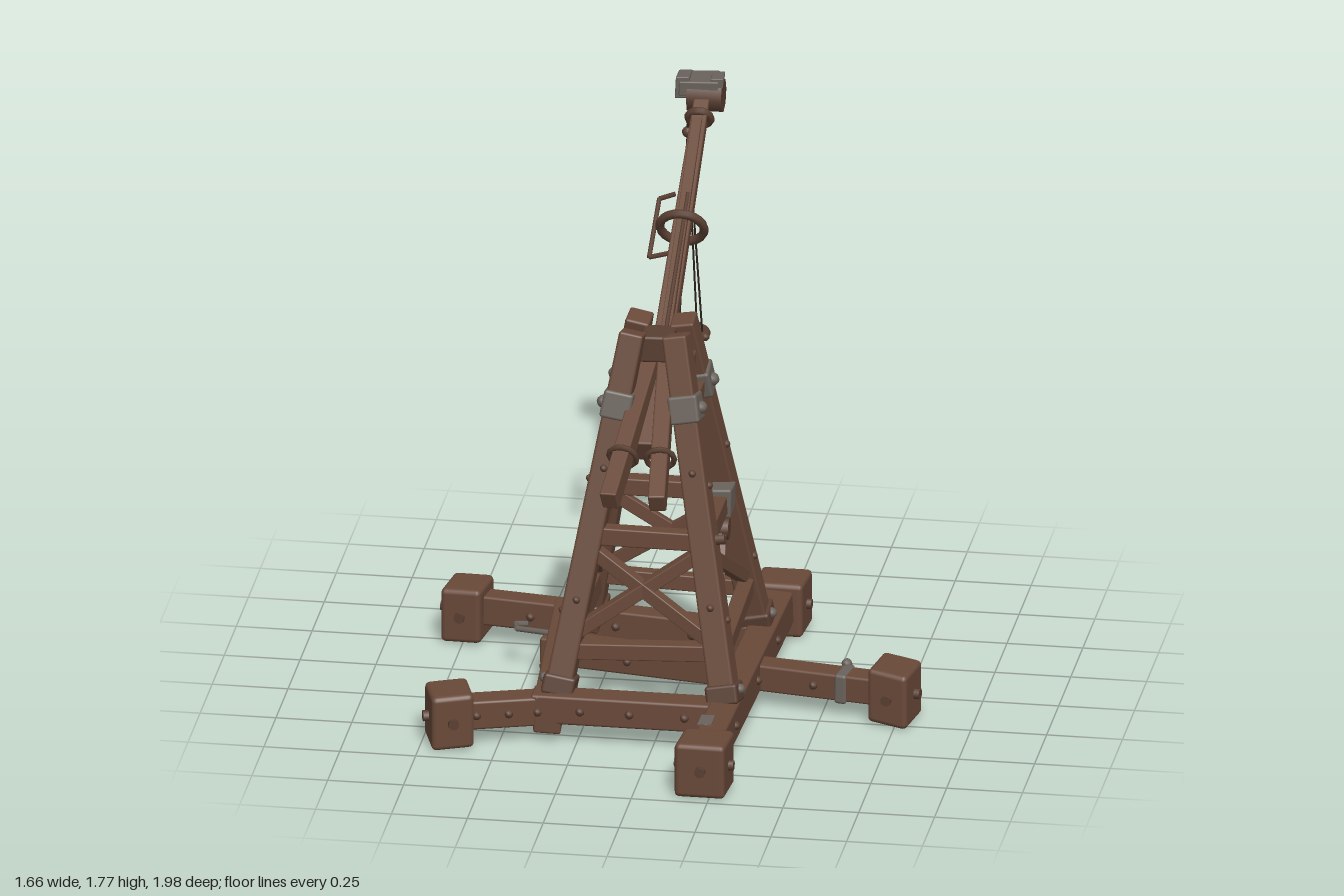
import * as THREE from 'three';
import { RoundedBoxGeometry } from 'three/addons/geometries/RoundedBoxGeometry.js';

const mat = (name, color) => Object.assign(new THREE.MeshStandardMaterial({ color }), { name });
const V = (x, y, z) => new THREE.Vector3(x, y, z);

export function createModel() {
  const wood = mat('wood', 0x694939);
  const darkWood = mat('dark wood', 0x5a3f32);
  const iron = mat('iron', 0x6a625b);
  const rope = mat('rope', 0x2b211b);
  const root = new THREE.Group();
  root.name = 'crane';

  const add = (name, geo, m, pos) => {
    const mesh = new THREE.Mesh(geo, m);
    mesh.name = name;
    mesh.position.copy(pos);
    root.add(mesh);
    return mesh;
  };

  // Softly chamfered, slightly uneven hewn timber, long axis on z
  const hewn = (w, h, l, taper = 1, wobble = 0.004) => {
    const g = new RoundedBoxGeometry(w, h, l, 2, Math.min(w, h) * 0.1);
    const p = g.attributes.position;
    for (let i = 0; i < p.count; i++) {
      const x = p.getX(i), y = p.getY(i), z = p.getZ(i);
      const s = THREE.MathUtils.lerp(1, taper, z / l + 0.5);
      p.setXYZ(i, x * s + wobble * Math.sin(z * 31 + y * 40), y * s + wobble * Math.sin(z * 23 + x * 37), z);
    }
    return g;
  };

  // Timber from a to b
  const beam = (name, a, b, w, h = w, m = wood, taper = 1) => {
    const mesh = add(name, hewn(w, h, a.distanceTo(b), taper, 0.002), m, a.clone().add(b).multiplyScalar(0.5));
    const d = b.clone().sub(a).normalize();
    mesh.up.set(0, Math.abs(d.y) > 0.85 ? 0 : 1, Math.abs(d.y) > 0.85 ? 1 : 0);
    mesh.lookAt(b);
    return mesh;
  };

  // Round rod from a to b
  const rod = (name, a, b, r, m, sides = 8) => {
    const mesh = add(name, new THREE.CylinderGeometry(r, r, a.distanceTo(b), sides), m, a.clone().add(b).multiplyScalar(0.5));
    mesh.quaternion.setFromUnitVectors(V(0, 1, 0), b.clone().sub(a).normalize());
    return mesh;
  };
  const rodPath = (name, pts, r, m) => pts.slice(1).forEach((p, i) => rod(name, pts[i], p, r, m, 6));

  const bolt = (pos, r = 0.015, m = darkWood) => add('bolt', new THREE.SphereGeometry(r, 8, 6), m, pos);

  // Base beams: start, end, and whether each end carries a foot block
  const base = [
    [V(0.26, 0.115, -0.5), V(0.225, 0.115, 0.9), 0.095, 0.11, 1, 1],
    [V(0.28, 0.115, -0.15), V(-0.745, 0.115, -0.29), 0.085, 0.1, 0, 1],
    [V(-0.3, 0.11, 0.5), V(-0.66, 0.11, 0.615), 0.085, 0.1, 0, 1],
    [V(-0.45, 0.1, -0.015), V(0.74, 0.105, 0.19), 0.085, 0.09, 0, 1],
    [V(-0.41, 0.1, -0.27), V(-0.345, 0.1, 0.57), 0.09, 0.13, 0, 0],
    [V(-0.4, 0.12, 0.525), V(0.25, 0.12, 0.525), 0.09, 0.1, 0, 0],
  ];
  for (const [a, b, w, h, footA, footB] of base) {
    beam('baseBeam', a, b, w, h);
    const dir = b.clone().sub(a).normalize();
    const side = V(dir.z, 0, -dir.x);
    // Foot blocks with pegs driven through them
    for (const [end, on] of [[a, footA], [b, footB]]) {
      if (!on) continue;
      const c = end.clone().setY(0.103);
      const block = add('footBlock', hewn(0.166, 0.186, 0.138, 1, 0.005), wood, c);
      block.rotation.y = Math.atan2(dir.x, dir.z);
      for (const [d, len] of [[dir, 0.088], [side, 0.098]]) {
        rod('footPeg', c.clone().addScaledVector(d, -len), c.clone().addScaledVector(d, len), 0.018, darkWood);
      }
    }
    // Bolt heads along the sides
    for (const t of [0.25, 0.5, 0.78]) {
      const c = a.clone().lerp(b, t);
      for (const s of [-1, 1]) bolt(c.clone().addScaledVector(side, s * w * 0.5));
    }
  }

  // Iron fittings on the base
  beam('armBand', V(0.55, 0.104, 0.157), V(0.59, 0.104, 0.164), 0.1, 0.1, iron);
  bolt(V(0.57, 0.155, 0.11), 0.018, iron);
  add('beamPlate', hewn(0.045, 0.008, 0.08, 1, 0), iron, V(0.2, 0.171, 0.7));
  rodPath('beamHook', [V(-0.43, 0.15, -0.01), V(-0.54, 0.15, -0.03), V(-0.55, 0.15, -0.07), V(-0.51, 0.15, -0.075)], 0.01, iron);

  // Tower legs, ordered around the tower
  const feet = [[-0.33, 0.505], [0.24, 0.505], [0.24, -0.195], [-0.335, -0.195]];
  const heads = [[-0.115, 0.235], [0.027, 0.235], [0.027, 0.095], [-0.115, 0.095]];
  const legAt = (i, y) => {
    const t = (y - 0.1) / 1.23, f = feet[i % 4], k = heads[i % 4];
    return V(f[0] + (k[0] - f[0]) * t, y, f[1] + (k[1] - f[1]) * t);
  };
  for (let i = 0; i < 4; i++) {
    beam('towerLeg', legAt(i, 0.11), legAt(i, 1.33), 0.086, 0.086, wood, 0.93);
    beam('legSocket', legAt(i, 0.15), legAt(i, 0.215), 0.106, 0.106, darkWood);
    beam('legStrap', legAt(i, 1.05), legAt(i, 1.14), 0.098, 0.098, iron);
    const out = V(i === 0 || i === 3 ? -1 : 1, 0, i < 2 ? 1 : -1);
    bolt(legAt(i, 1.1).add(V(out.x * 0.05, 0, 0)), 0.022, iron);
    bolt(legAt(i, 0.19).add(V(out.x * 0.052, 0.01, 0)), 0.018, iron);
    for (const y of [0.42, 0.85]) {
      bolt(legAt(i, y).add(V(out.x * 0.042, 0, 0)), 0.013);
      bolt(legAt(i, y + 0.05).add(V(0, 0, out.z * 0.042)), 0.013);
    }
    // Horizontal rails and crossed braces on each side
    beam('lowerRail', legAt(i, 0.295), legAt(i + 1, 0.315), 0.05, i % 2 ? 0.07 : 0.055);
    beam('middleRail', legAt(i, 0.67), legAt(i + 1, 0.67), 0.055, 0.06);
    beam('brace', legAt(i, i === 1 ? 0.63 : 0.34), legAt(i + 1, i === 1 ? 0.33 : 0.64), 0.038, 0.045);
    if (i !== 1) beam('brace', legAt(i, 0.63), legAt(i + 1, 0.33), 0.038, 0.045);
  }

  // Loose brace with a round end, and the strap on the rail above it
  const knob = V(0.14, 0.56, 0);
  beam('knobBrace', V(0.18, 0.19, 0.38), knob, 0.035, 0.04);
  rod('braceKnob', knob.clone().add(V(-0.025, 0, 0)), knob.clone().add(V(0.025, 0, 0)), 0.036, darkWood, 10);
  add('railStrap', hewn(0.08, 0.1, 0.09), iron, legAt(2, 0.67).setZ(0.025));
  rod('railPeg', legAt(1, 0.67), legAt(1, 0.67).add(V(0.07, 0.01, 0)), 0.018, darkWood);

  // Upper ties and the cap that holds the tower together
  for (const [i, j] of [[1, 2], [0, 3]]) {
    beam('upperTie', legAt(i, 1.08), legAt(j, 1.08), 0.05, 0.06);
    beam('topTie', legAt(i, 1.2), legAt(j, 1.2), 0.045, 0.05);
  }
  add('towerCap', hewn(0.11, 0.09, 0.11), darkWood, V(-0.044, 1.265, 0.167));
  rod('pivotAxle', V(-0.13, 1.1, 0.14), V(0.04, 1.1, 0.14), 0.025, darkWood, 10);

  // Boom with a forked tail
  const tail = V(-0.05, 0.965, 0.37), tip = V(-0.065, 1.685, -0.87);
  const boomAt = t => tail.clone().lerp(tip, t);
  beam('boom', tail, tip, 0.072, 0.088, wood, 0.72);
  for (const [x0, x1] of [[-0.075, -0.128], [-0.025, 0.03]]) {
    const a = V(x0, 1.175, 0.1), b = V(x1, 0.9, 0.65);
    beam('boomTail', a, b, 0.056, 0.07);
    const band = add('tailBand', new THREE.TorusGeometry(0.046, 0.01, 6, 12), darkWood, a.clone().lerp(b, 0.68));
    band.lookAt(b);
  }
  beam('boomSplint', boomAt(0.3).add(V(0.01, 0.06, 0)), boomAt(0.93).add(V(0, 0.03, 0)), 0.035, 0.03);

  // Rings around the boom
  for (const [t, r, tube] of [[0.645, 0.073, 0.015], [0.29, 0.062, 0.012], [0.96, 0.036, 0.014]]) {
    const ring = add('boomRing', new THREE.TorusGeometry(r, tube, 8, 20), darkWood, boomAt(t));
    ring.lookAt(tip);
  }

  // Bent handle beside the boom
  rodPath('handleBar', [V(-0.08, 1.38, -0.33), V(-0.152, 1.36, -0.33), V(-0.152, 1.48, -0.54), V(-0.1, 1.5, -0.54)], 0.008, darkWood);
  rod('boomRope', V(-0.04, 1.26, 0.02), boomAt(0.7).add(V(0.01, 0.055, 0)), 0.007, darkWood, 6);

  // Boom head: wooden drum with a flared iron cap on top
  rod('headDrum', V(-0.115, 1.7, -0.916), V(0, 1.7, -0.916), 0.058, darkWood, 8);
  add('headCap', hewn(0.13, 0.05, 0.09, 1, 0.006), iron, V(-0.08, 1.738, -0.917));
  for (const [x, w, h] of [[-0.132, 0.045, 0.075], [-0.02, 0.042, 0.035]]) {
    add('headCapEar', hewn(w, h, 0.08, 1, 0.004), iron, V(x, 1.77 - h / 2, -0.917));
  }

  // Hanging platform on ropes
  const knot = V(-0.118, 1.565, -0.915), plate = V(-0.118, 0.855, -0.92);
  rod('hangingRope', V(-0.105, 1.68, -0.915), knot, 0.007, rope, 6);
  add('ropeKnot', new THREE.SphereGeometry(0.019, 10, 8), darkWood, knot);
  const hoop = add('platformRim', new THREE.TorusGeometry(0.058, 0.016, 8, 20), darkWood, plate);
  hoop.rotation.x = Math.PI / 2;
  add('platform', new THREE.CylinderGeometry(0.058, 0.055, 0.024, 16), wood, plate);
  for (let i = 0; i < 4; i++) {
    const a = i * Math.PI / 2 + 0.4;
    const p = plate.clone().add(V(Math.cos(a) * 0.055, 0.01, Math.sin(a) * 0.055));
    rod('platformRope', knot, p, 0.0035, rope, 5);
    bolt(p.setY(0.856).add(V(Math.cos(a) * 0.012, 0, Math.sin(a) * 0.012)), 0.014);
  }
  // Hook beneath the platform
  const hook = add('hook', new THREE.TorusGeometry(0.028, 0.008, 6, 12, Math.PI), darkWood, V(-0.115, 0.842, -0.905));
  hook.rotation.set(0, Math.PI / 2, Math.PI);

  return root;
}
